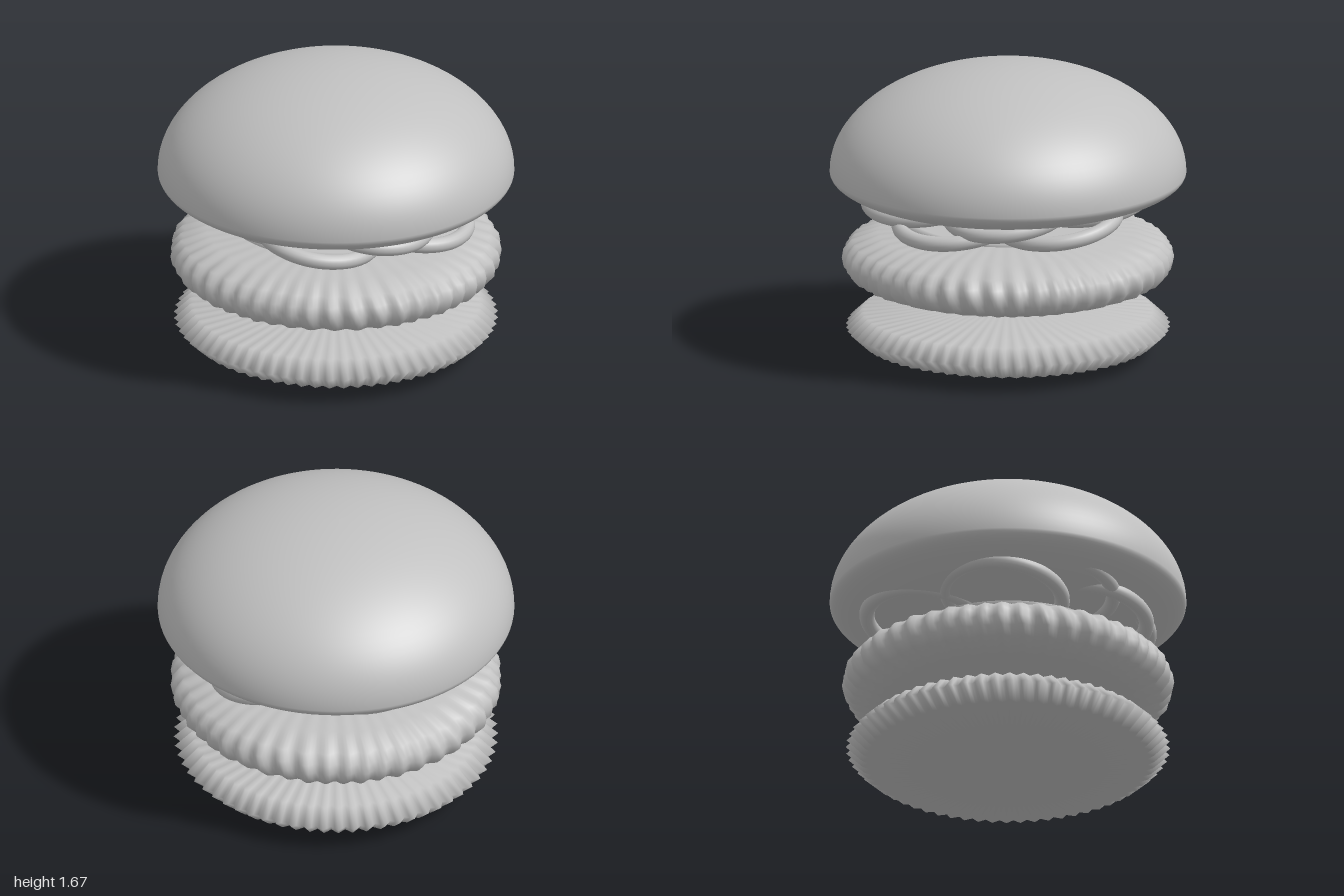
import * as THREE from 'three';
import { mergeVertices } from 'three/addons/utils/BufferGeometryUtils.js';

const grey = new THREE.MeshStandardMaterial({ color: 0xc0c0c0 });
grey.name = 'plain grey';

// Lathe solid from [radius, y] pairs (bottom to top), with an optional rule for the radius
function turned(name, profile, segments, ripple) {
  const points = profile.map(([r, y]) => new THREE.Vector2(r, y));
  let geometry = new THREE.LatheGeometry(points, segments);
  if (ripple) {
    const p = geometry.attributes.position;
    for (let i = 0; i < p.count; i++) {
      const s = ripple(Math.atan2(p.getZ(i), p.getX(i)), p.getY(i));
      p.setXYZ(i, p.getX(i) * s, p.getY(i), p.getZ(i) * s);
    }
    geometry.deleteAttribute('uv');
    geometry.deleteAttribute('normal');
    geometry = mergeVertices(geometry, 1e-5);
    geometry.computeVertexNormals();
  }
  const mesh = new THREE.Mesh(geometry, grey);
  mesh.name = name;
  return mesh;
}

export function createModel() {
  const model = new THREE.Group();
  model.name = 'burger';

  // Bottom bun with a toothed rim
  model.add(turned('bottomBun',
    [[0, 0], [0.4, 0.04], [0.8, 0.08], [0.89, 0.165], [0.8, 0.25], [0.4, 0.287], [0, 0.325]],
    256, (a) => 1 + 0.023 * Math.cos(64 * a)));

  // Crinkled patty, with folds that wander a little over its height
  model.add(turned('patty',
    [[0, 0.37], [0.4, 0.385], [0.72, 0.41], [0.86, 0.46], [0.905, 0.51], [0.915, 0.56],
      [0.905, 0.61], [0.86, 0.66], [0.72, 0.71], [0.4, 0.735], [0, 0.75]],
    288, (a, y) => 1 + 0.016 * Math.cos(48 * a + 1.5 * Math.sin(5 * a + 9 * y))
      + 0.004 * Math.cos(20 * a)));

  // Thin slice
  model.add(turned('slice',
    [[0, 0.765], [0.3, 0.768], [0.55, 0.779], [0.62, 0.787], [0.55, 0.794], [0, 0.798]], 64));

  // Two staggered layers of five tilted onion rings
  const ring = new THREE.TorusGeometry(0.33, 0.043, 16, 64).rotateX(Math.PI / 2);
  for (let i = 0; i < 10; i++) {
    const angle = (i * Math.PI) / 5;
    const mesh = new THREE.Mesh(ring, grey);
    mesh.name = i % 2 ? 'upperOnionRing' : 'lowerOnionRing';
    mesh.position.set(0.48 * Math.cos(angle), i % 2 ? 0.962 : 0.89, 0.48 * Math.sin(angle));
    mesh.rotation.z = -0.2;
    model.add(mesh);
  }

  // Domed top bun, shallow below its widest line
  const dome = [];
  for (let i = 0; i <= 48; i++) {
    const t = -Math.PI / 2 + (i * Math.PI) / 48;
    const height = t < 0 ? 0.2 : 0.61;
    dome.push([Math.max(0, Math.cos(t)), 1.06 + height * Math.sin(t)]);
  }
  model.add(turned('topBun', dome, 96));

  return model;
}
